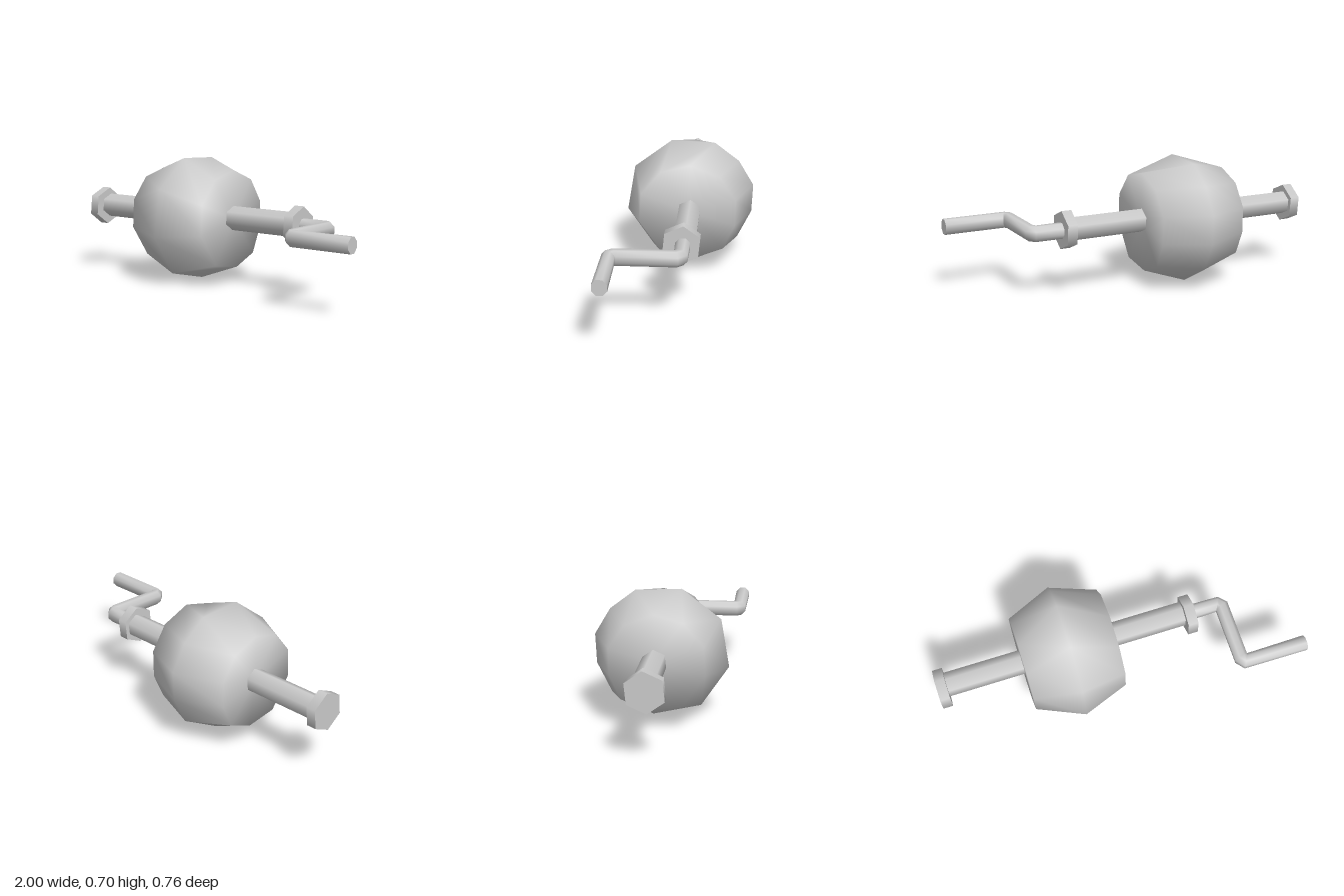
import * as THREE from 'three';
import { toCreasedNormals } from 'three/addons/utils/BufferGeometryUtils.js';

const material = new THREE.MeshStandardMaterial({ color: 0xcccccc });

// Closed skin over a row of rings (arrays of Vector3), capped at both ends
function loft(rings) {
  const n = rings[0].length;
  const points = rings.flat();
  const index = [];
  for (let r = 0; r < rings.length - 1; r++) {
    for (let j = 0; j < n; j++) {
      const a = r * n + j, b = r * n + (j + 1) % n;
      index.push(a, a + n, b, b, a + n, b + n);
    }
  }
  const centre = ring => ring.reduce((s, p) => s.add(p), new THREE.Vector3()).divideScalar(n);
  const first = points.length, last = first + 1, start = (rings.length - 1) * n;
  const all = [...points, centre(rings[0]), centre(rings[rings.length - 1])];
  for (let j = 0; j < n; j++) {
    const k = (j + 1) % n;
    index.push(first, j, k, last, start + k, start + j);
  }
  const geometry = new THREE.BufferGeometry().setFromPoints(all);
  geometry.setIndex(index);
  geometry.computeVertexNormals();
  return geometry;
}

// Six-sided bar along x
function hexBar(name, radius, x0, x1, y, z) {
  const geometry = new THREE.CylinderGeometry(radius, radius, x1 - x0, 6, 1, false, Math.PI / 5);
  geometry.rotateZ(Math.PI / 2);
  geometry.translate((x0 + x1) / 2, y, z);
  const mesh = new THREE.Mesh(geometry, material);
  mesh.name = name;
  return mesh;
}

// Irregular bulging drum: ten-sided rings given as [z, y]
function drumGeometry() {
  const rim = [[0.245, 0.3], [0.235, 0.465], [0.125, 0.595], [-0.04, 0.637], [-0.2, 0.572],
    [-0.288, 0.44], [-0.285, 0.29], [-0.22, 0.15], [-0.07, 0.09], [0.12, 0.12]];
  const belly = [[0.335, 0.28], [0.29, 0.54], [0.08, 0.698], [-0.165, 0.686], [-0.3, 0.582],
    [-0.383, 0.44], [-0.375, 0.28], [-0.295, 0.12], [-0.072, 0], [0.187, 0.06]];
  const ring = (pts, x, s) => pts.map(([z, y]) =>
    new THREE.Vector3(x, 0.365 + (y - 0.365) * s, -0.02 + (z + 0.02) * s));
  return loft([ring(rim, -0.52, 0.94), ring(belly, -0.265, 1), ring(rim, -0.01, 1)]);
}

// Bent rod with mitred, chamfered corners; path given as [x, z]
function crankGeometry() {
  const path = [[0.46, -0.027], [0.612, -0.027], [0.633, -0.004], [0.633, 0.312], [0.652, 0.336], [1, 0.336]]
    .map(([x, z]) => new THREE.Vector3(x, 0.367, z));
  const up = new THREE.Vector3(0, 1, 0);
  const rings = path.map((p, i) => {
    const before = p.clone().sub(path[Math.max(i - 1, 0)]).normalize();
    const after = path[Math.min(i + 1, path.length - 1)].clone().sub(p).normalize();
    const side = before.clone().add(after).normalize().cross(up);
    return Array.from({ length: 8 }, (_, j) => {
      const a = (j + 0.5) * Math.PI / 4;
      return p.clone().addScaledVector(side, 0.042 * Math.cos(a)).addScaledVector(up, 0.045 * Math.sin(a));
    });
  });
  return toCreasedNormals(loft(rings), 1.2);
}

export function createModel() {
  const group = new THREE.Group();
  group.name = 'windlass';

  // Axle with a collar at each end
  group.add(hexBar('axle', 0.067, -0.96, 0.43, 0.37, -0.033));
  group.add(hexBar('rightCollar', 0.108, -1, -0.945, 0.367, -0.02));
  group.add(hexBar('leftCollar', 0.108, 0.41, 0.467, 0.367, -0.02));

  // Wound drum
  const drum = new THREE.Mesh(drumGeometry(), material);
  drum.name = 'drum';
  group.add(drum);

  // Crank handle
  const crank = new THREE.Mesh(crankGeometry(), material);
  crank.name = 'crankHandle';
  group.add(crank);

  return group;
}
